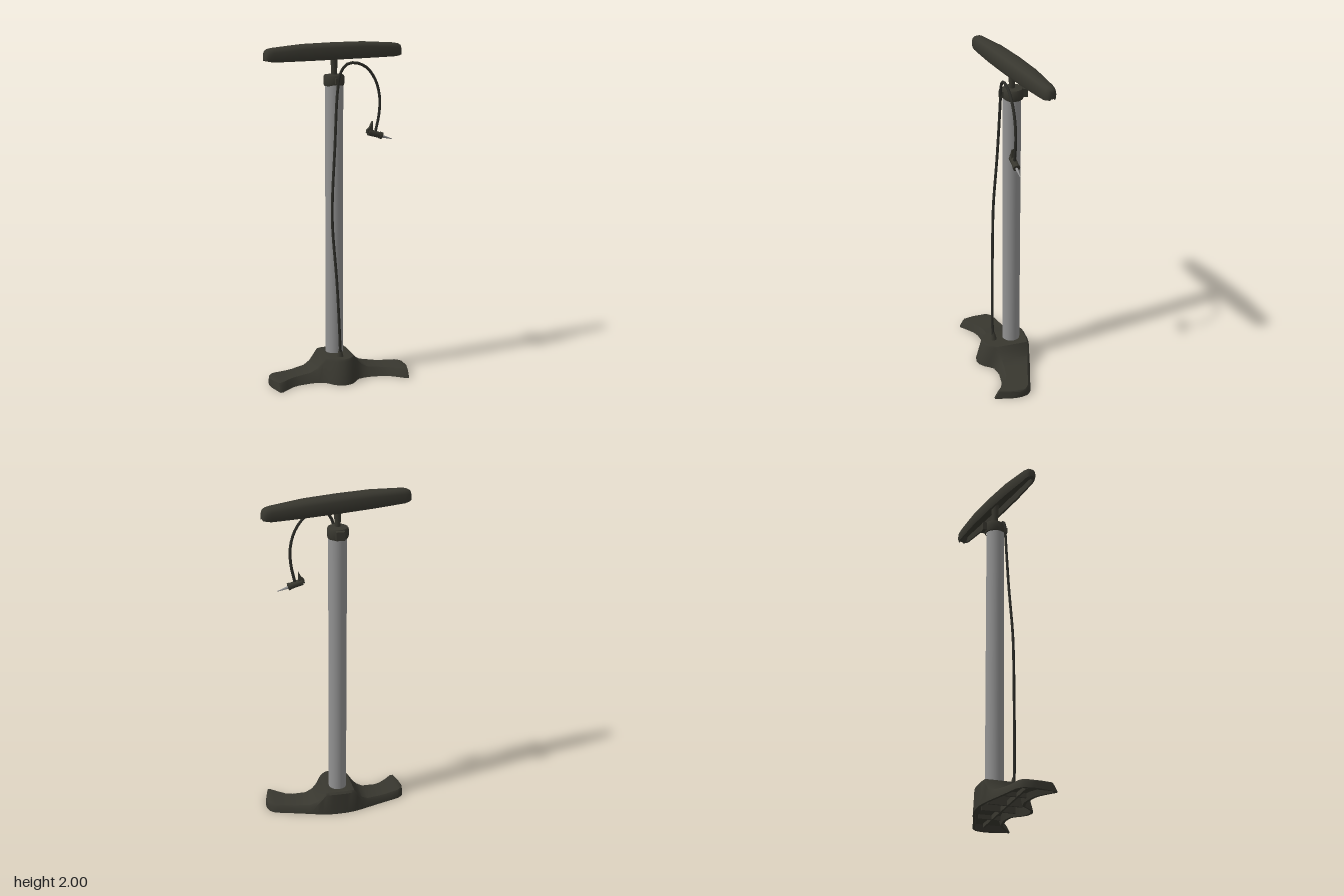
import * as THREE from 'three';
import { toCreasedNormals } from 'three/addons/utils/BufferGeometryUtils.js';

const mat = (name, color, side = THREE.FrontSide) => {
  const m = new THREE.MeshStandardMaterial({ color, side });
  m.name = name;
  return m;
};

// Skin over rings of [y, z] points placed along x, closed by a cap at each end
function loft(sections, crease) {
  const n = sections[0].ring.length, pos = [], idx = [];
  sections.forEach(s => s.ring.forEach(([y, z]) => pos.push(s.x, y, z)));
  for (let i = 0; i < sections.length - 1; i++) {
    for (let j = 0; j < n; j++) {
      const a = i * n + j, b = i * n + (j + 1) % n;
      idx.push(a, b, a + n, b, b + n, a + n);
    }
  }
  const cap = (k, flip) => {
    const pts = sections[k].ring.map(([y, z]) => new THREE.Vector2(y, z));
    THREE.ShapeUtils.triangulateShape(pts, []).forEach(([a, b, c]) => {
      const o = k * n;
      idx.push(o + a, o + (flip ? c : b), o + (flip ? b : c));
    });
  };
  cap(0, true);
  cap(sections.length - 1, false);
  const g = new THREE.BufferGeometry();
  g.setAttribute('position', new THREE.Float32BufferAttribute(pos, 3));
  g.setIndex(idx);
  return toCreasedNormals(g, crease);
}

// Mirrors half a list of stations (first entry is x = 0) to both sides
const mirrored = half => [
  ...half.slice(1).reverse().map(([x, ...r]) => [-x, ...r]),
  ...half,
];

export function createModel() {
  const model = new THREE.Group();
  model.name = 'floorPump';
  const dark = mat('dark plastic', 0x38372f);
  const rubber = mat('black rubber', 0x2c2c27);
  const steel = mat('grey metal', 0x929292);

  const add = (name, geo, material, x = 0, y = 0, z = 0, parent = model) => {
    const m = new THREE.Mesh(geo, material);
    m.name = name;
    m.position.set(x, y, z);
    parent.add(m);
    return m;
  };
  const box = (w, h, d) => new THREE.BoxGeometry(w, h, d);
  const cyl = (rt, rb, h, n = 20) => new THREE.CylinderGeometry(rt, rb, h, n);

  // Foot stand: x, back z, front z, height, depth of the hollow below
  const foot = mirrored([
    [0, -0.155, 0.17, 0.145, 0.12],
    [0.04, -0.155, 0.16, 0.145, 0.12],
    [0.07, -0.151, 0.135, 0.145, 0.12],
    [0.088, -0.148, 0.11, 0.142, 0.11],
    [0.11, -0.143, 0.087, 0.113, 0.08],
    [0.14, -0.135, 0.08, 0.077, 0.05],
    [0.18, -0.122, 0.075, 0.056, 0.038],
    [0.26, -0.097, 0.085, 0.048, 0.034],
    [0.3, -0.085, 0.1, 0.047, 0.032],
    [0.345, -0.072, 0.133, 0.048, 0.032],
    [0.385, -0.06, 0.167, 0.05, 0.032],
    [0.402, -0.048, 0.168, 0.05, 0.001],
    [0.42, -0.03, 0.1, 0.047, 0.001],
    [0.43, 0.01, 0.05, 0.038, 0.001],
  ]).map(([x, zb, zf, h, d]) => {
    const lean = 0.012 + h * 0.17, t = 0.016;
    return { x, ring: [
      [h - 0.012, zb + 0.005], [h, zb + 0.016],
      [h, zf - lean - 0.01], [h - 0.012, zf - lean],
      [0, zf], [0, zf - t], [d, zf - t - lean * 0.5], [d, zb + t + 0.004],
      [0, zb + t], [0, zb],
    ] };
  });
  add('footStand', loft(foot, 0.7), dark);

  // Stiffening ribs in the hollow
  add('longRib', box(0.74, 0.03, 0.012), dark, 0, 0.024, 0.005);
  for (const s of [-1, 1]) {
    add('hubRib', box(0.012, 0.1, 0.2), dark, s * 0.06, 0.06, -0.01);
    add('armRib', box(0.012, 0.028, 0.13), dark, s * 0.22, 0.025, -0.01);
  }

  // Barrel, collar and plunger rod
  add('barrel', cyl(0.053, 0.053, 1.65, 28), steel, 0, 0.935, -0.054);
  const collar = [[0.05, 1.75], [0.057, 1.753], [0.061, 1.765], [0.061, 1.805],
    [0.056, 1.815], [0.02, 1.818], [0, 1.818]].map(([r, y]) => new THREE.Vector2(r, y));
  add('collar', toCreasedNormals(new THREE.LatheGeometry(collar, 24), 0.6), dark, 0, 0, -0.06);
  add('collarLug', box(0.05, 0.05, 0.04), dark, 0, 1.785, -0.12);
  add('hoseClip', box(0.026, 0.035, 0.024), dark, 0, 1.785, 0.008);
  add('plungerRod', cyl(0.025, 0.016, 0.15, 12), dark, 0, 1.885, -0.055);

  // Handle, hollow on its underside: x, half width, top, hollow top
  const grip = mirrored([
    [0, 0.055, 2, 1.95],
    [0.2, 0.051, 1.998, 1.95],
    [0.33, 0.042, 1.989, 1.945],
    [0.4, 0.036, 1.984, 1.94],
    [0.425, 0.033, 1.979, 1.912],
    [0.441, 0.026, 1.97, 1.916],
    [0.447, 0.017, 1.957, 1.921],
  ]).map(([x, w, top, inner]) => {
    const b = Math.abs(x) > 0.44 ? 1.914 : Math.abs(x) > 0.42 ? 1.91 : 1.906;
    const right = [[top, w * 0.45], [top - 0.009, w * 0.8], [top - 0.026, w],
      [b + 0.015, w], [b, w * 0.88], [b, w * 0.66], [inner, w * 0.6]];
    return { x, ring: [...right, ...right.map(([y, z]) => [y, -z]).reverse()] };
  });
  const handle = add('handle', loft(grip, 0.75), dark, 0, 0, -0.055);
  handle.rotation.y = 0.192;

  // Hose and its outlet on the foot
  const path = [[0.0, 0.17, 0.062], [-0.006, 0.3, 0.064], [-0.02, 0.6, 0.058],
    [-0.043, 0.93, 0.047], [-0.043, 1.08, 0.042], [-0.022, 1.4, 0.025],
    [0, 1.74, 0.013], [0.02, 1.84, 0.015], [0.052, 1.879, 0.016], [0.1, 1.888, 0.015],
    [0.17, 1.862, 0.012], [0.228, 1.79, 0.008], [0.258, 1.69, 0.005],
    [0.257, 1.59, 0.003], [0.234, 1.475, 0.002]].map(p => new THREE.Vector3(...p));
  add('hose', new THREE.TubeGeometry(new THREE.CatmullRomCurve3(path), 72, 0.0085, 8), rubber);
  add('hoseOutlet', cyl(0.006, 0.023, 0.065, 8), dark, 0, 0.167, 0.058);

  // Valve head with lever and needle
  const head = new THREE.Group();
  head.name = 'valveHead';
  head.position.set(0.232, 1.468, 0.002);
  head.rotation.z = -0.29;
  model.add(head);
  add('headBody', cyl(0.018, 0.02, 0.086, 10), dark, 0, 0, 0, head).rotation.z = -Math.PI / 2;
  add('headCap', cyl(0.021, 0.021, 0.016, 10), dark, 0.038, 0, 0, head).rotation.z = -Math.PI / 2;
  add('needle', cyl(0.002, 0.009, 0.07, 8), steel, 0.078, -0.003, 0, head).rotation.z = -Math.PI / 2;
  const lever = new THREE.Shape([[-0.052, -0.01], [-0.02, 0.008], [-0.026, 0.028],
    [-0.038, 0.068], [-0.044, 0.03], [-0.055, 0.012]].map(p => new THREE.Vector2(...p)));
  add('lever', new THREE.ExtrudeGeometry(lever, { depth: 0.024, bevelEnabled: false }),
    dark, 0, 0, -0.012, head);

  return model;
}
